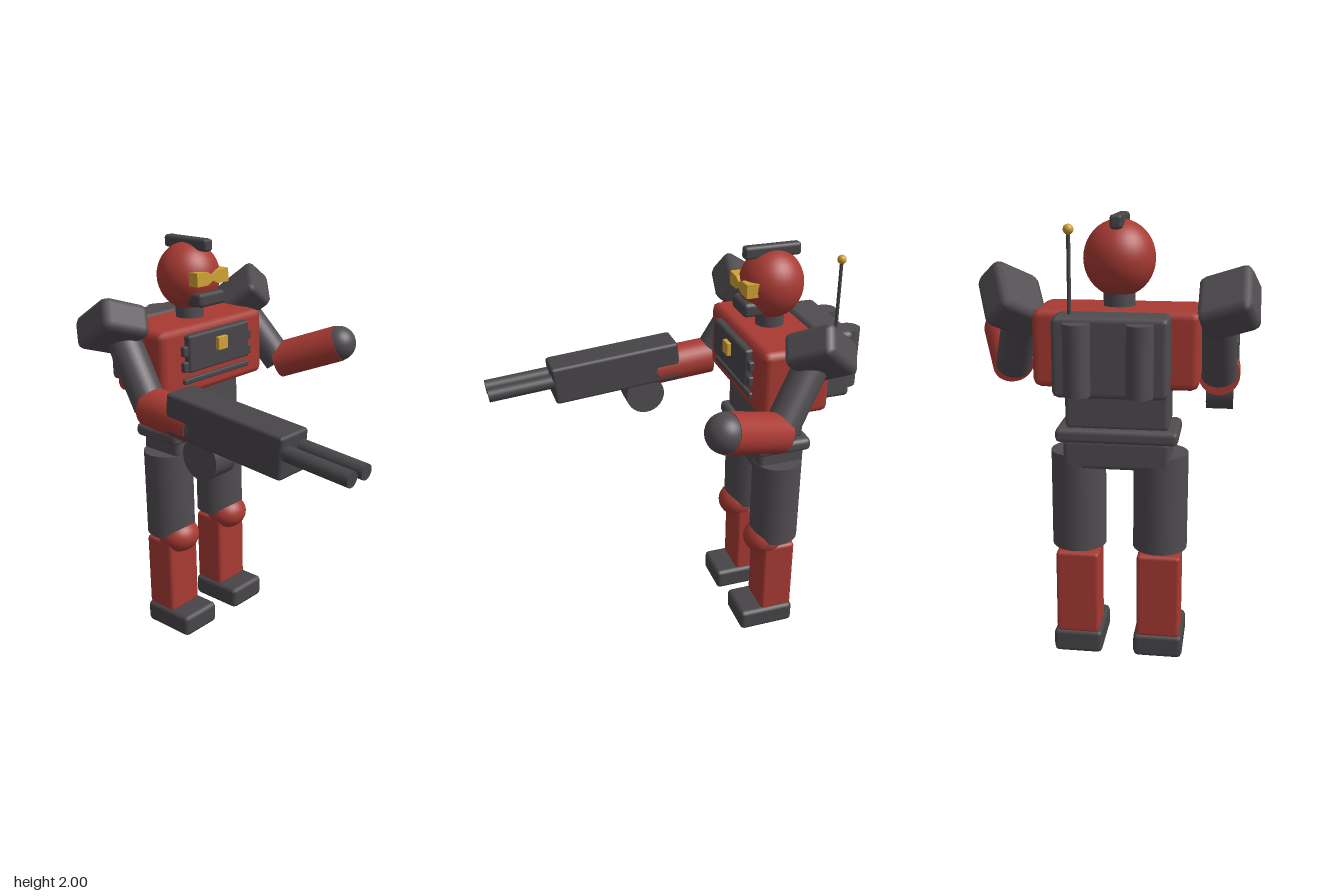
import * as THREE from 'three';
import { RoundedBoxGeometry } from 'three/addons/geometries/RoundedBoxGeometry.js';

const mat = (name, color) => {
  const m = new THREE.MeshStandardMaterial({ color });
  m.name = name;
  return m;
};

export function createModel() {
  const red = mat('red armour', 0xa83a33);
  const grey = mat('grey metal', 0x504c50);
  const dark = mat('dark metal', 0x474548);
  const gold = mat('gold', 0xd0a035);

  const model = new THREE.Group();
  model.name = 'robot';
  const MID = -0.062; // body centre line
  const BZ = -0.453; // body depth centre

  const add = (name, geometry, material, x, y, z, parent = model) => {
    const m = new THREE.Mesh(geometry, material);
    m.name = name;
    m.position.set(x, y, z);
    parent.add(m);
    return m;
  };
  // box with chamfered edges
  const box = (name, material, [w, h, d], [x, y, z], r = 0.02, parent = model) =>
    add(name, new RoundedBoxGeometry(w, h, d, 1, r), material, x, y, z, parent);
  const ball = (name, material, r, [x, y, z], parent = model) =>
    add(name, new THREE.SphereGeometry(r, 32, 20), material, x, y, z, parent);
  // cylinder between two points
  const rod = (name, material, r, from, to, parent = model) => {
    const a = new THREE.Vector3(...from), b = new THREE.Vector3(...to);
    const d = b.clone().sub(a), c = a.clone().add(b).multiplyScalar(0.5);
    const m = add(name, new THREE.CylinderGeometry(r, r, d.length(), 28), material, c.x, c.y, c.z, parent);
    m.quaternion.setFromUnitVectors(new THREE.Vector3(0, 1, 0), d.normalize());
    return m;
  };

  // head
  const head = new THREE.Group();
  head.name = 'head';
  head.position.set(MID, 1.815, BZ);
  model.add(head);
  ball('skull', red, 0.153, [0, 0, 0], head).scale.y = 1.06;
  box('crest', dark, [0.053, 0.06, 0.28], [0, 0.155, 0.005], 0.015, head);
  box('mouthGuard', dark, [0.174, 0.068, 0.1], [0, -0.095, 0.113], 0.018, head);
  const bow = new THREE.Shape([
    [-0.107, 0.035], [-0.035, 0.032], [0, 0.016], [0.035, 0.032], [0.107, 0.035],
    [0.107, -0.03], [0.035, -0.03], [0, -0.012], [-0.035, -0.03], [-0.107, -0.03],
  ].map(([x, y]) => new THREE.Vector2(x, y)));
  add('visor', new THREE.ExtrudeGeometry(bow, { depth: 0.06, bevelEnabled: false }), gold, 0, 0.005, 0.103, head);
  rod('neck', grey, 0.068, [MID, 1.58, BZ], [MID, 1.72, BZ]);

  // torso
  box('chest', red, [0.704, 0.333, 0.335], [MID, 1.45, BZ], 0.035);
  box('chestPanel', dark, [0.42, 0.18, 0.05], [MID, 1.494, -0.275], 0.012);
  box('chestVent', dark, [0.455, 0.028, 0.03], [MID, 1.36, -0.283], 0.008);
  box('chestEmblem', gold, [0.064, 0.064, 0.03], [MID, 1.516, -0.245], 0.003);
  for (const s of [-1, 1]) {
    for (const y of [1.51, 1.435]) {
      box('panelClip', dark, [0.04, 0.05, 0.03], [MID + s * 0.217, y, -0.275], 0.008);
    }
  }
  box('abdomen', grey, [0.45, 0.2, 0.22], [MID, 1.19, BZ], 0.02);
  box('belt', grey, [0.534, 0.064, 0.28], [MID, 1.065, BZ], 0.022);
  box('hips', grey, [0.47, 0.14, 0.24], [MID, 0.98, BZ], 0.025);

  // backpack with two tanks and an antenna
  box('backpack', grey, [0.472, 0.333, 0.17], [MID, 1.45, -0.703], 0.025);
  for (const s of [-1, 1]) {
    const x = MID + s * 0.126;
    rod('tank', grey, 0.055, [x, 1.304, -0.81], [x, 1.595, -0.81]);
  }
  rod('antenna', dark, 0.008, [0.106, 1.6, -0.72], [0.106, 1.95, -0.72]);
  ball('antennaTip', gold, 0.021, [0.106, 1.95, -0.72]);

  // legs
  for (const s of [-1, 1]) {
    const x = MID + s * 0.184;
    rod('thigh', grey, 0.122, [x, 0.525, -0.451], [x, 0.97, -0.451]);
    ball('knee', red, 0.105, [x, 0.512, -0.4]).scale.y = 0.85;
    box('shin', red, [0.197, 0.4, 0.17], [x, 0.3, -0.45], 0.018);
    box('foot', dark, [0.224, 0.112, 0.29], [x, 0.056, -0.395], 0.022);
  }

  // arms: points run from shoulder to elbow to hand
  const arm = (name, shoulder, elbow, hand, padAt, yaw, pitch, roll) => {
    const g = new THREE.Group();
    g.name = name;
    model.add(g);
    rod('upperArm', grey, 0.08, shoulder, elbow, g);
    rod('forearm', red, 0.093, elbow, hand, g);
    ball('hand', grey, 0.09, hand, g);
    const pad = box('shoulderPad', grey, [0.24, 0.16, 0.27], padAt, 0.035, g);
    pad.rotation.set(pitch, yaw, roll, 'YXZ');
  };
  arm('leftArm', [0.34, 1.63, -0.52], [0.447, 1.31, -0.3], [0.568, 1.425, 0],
    [0.39, 1.637, -0.508], 0.43, -0.67, 0.55);
  arm('rightArm', [-0.475, 1.63, -0.51], [-0.488, 1.29, -0.3], [-0.488, 1.265, 0],
    [-0.527, 1.64, -0.49], 0, -0.57, -0.38);

  // gun held in the right hand
  const gun = new THREE.Group();
  gun.name = 'gun';
  gun.position.set(-0.487, 1.29, 0.212);
  gun.rotation.x = 0.085;
  model.add(gun);
  box('gunBody', dark, [0.174, 0.195, 0.66], [0, 0, 0], 0.015, gun);
  for (const s of [-1, 1]) {
    rod('barrel', dark, 0.035, [s * 0.049, 0.02, 0.3], [s * 0.049, 0.02, 0.65], gun);
  }
  rod('ammoDrum', grey, 0.1, [-0.552, 1.14, 0.064], [-0.422, 1.14, 0.064]);

  return model;
}
